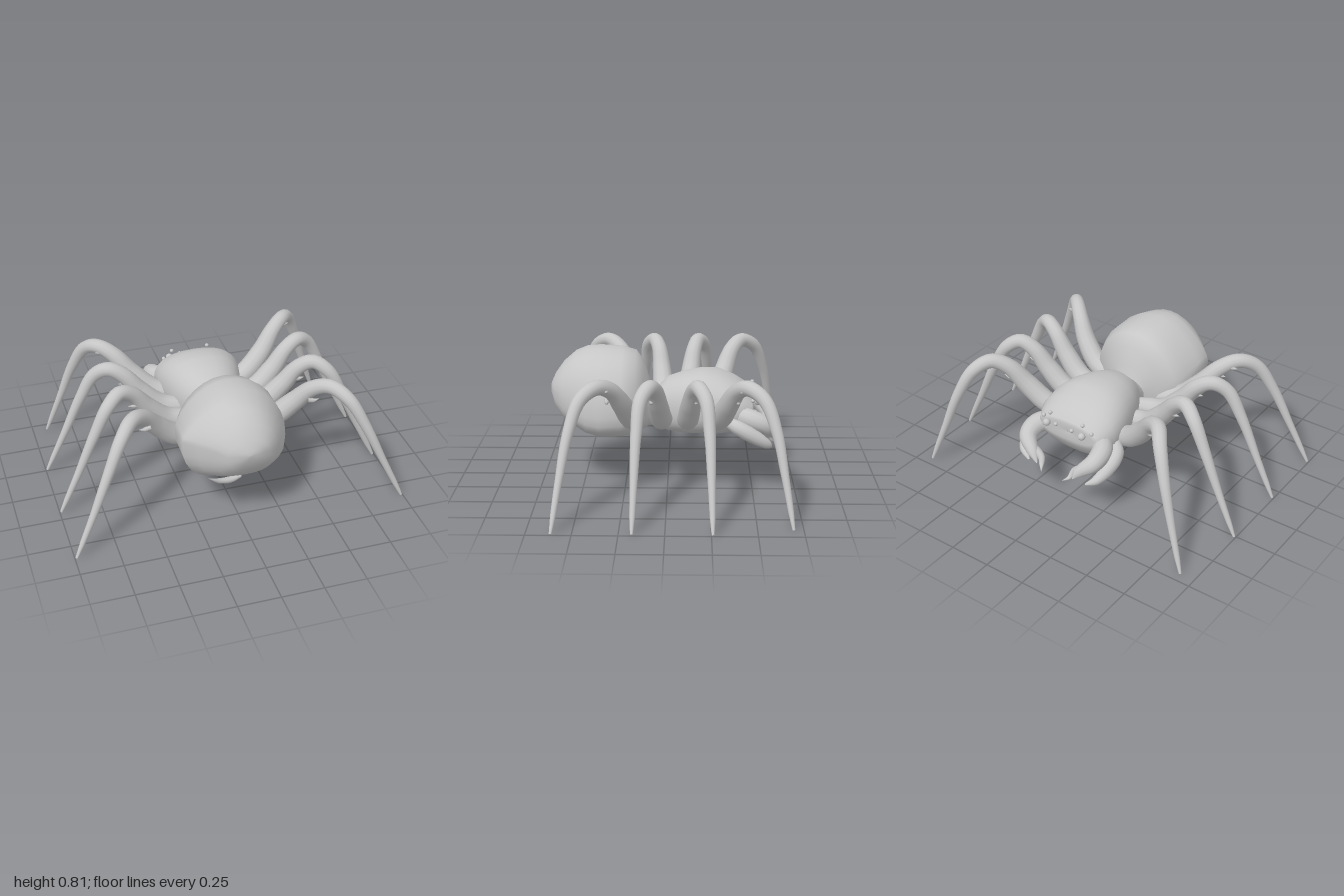
import * as THREE from 'three';

const grey = new THREE.MeshStandardMaterial({ color: 0xc6c6c6 });
grey.name = 'grey';

const add = (parent, name, geometry) => {
  const mesh = new THREE.Mesh(geometry, grey);
  mesh.name = name;
  parent.add(mesh);
  return mesh;
};

// Skin over cross-sections [z, halfWidth, bottom, middle, top, sideShift, lean], in order of rising z.
// A low power gives a boxy outline; lean lifts the right flank and slopes the back above it.
function loft(sections, upperPower, lowerPower, sides = 28) {
  const pos = [], idx = [];
  for (const [z, w, bottom, mid, top, shift = 0, lean = 0] of sections) {
    for (let j = 0; j < sides; j++) {
      const a = (j / sides) * Math.PI * 2;
      const c = Math.cos(a), s = Math.sin(a);
      const power = s < 0 ? lowerPower : upperPower + 6 * lean * Math.max(0, -c);
      const h = Math.abs(s) ** power, m = mid - lean * c;
      pos.push(shift + w * Math.sign(c) * Math.abs(c) ** power, m + ((s < 0 ? bottom : top) - m) * h, z);
    }
  }
  for (let i = 0; i < sections.length - 1; i++) {
    for (let j = 0; j < sides; j++) {
      const k = (j + 1) % sides;
      const a = i * sides + j, b = i * sides + k;
      idx.push(a, b, a + sides, b, b + sides, a + sides);
    }
  }
  const g = new THREE.BufferGeometry();
  g.setAttribute('position', new THREE.Float32BufferAttribute(pos, 3));
  g.setIndex(idx);
  g.computeVertexNormals();
  return g;
}

// Tube along points whose radius follows an evenly spaced list
function taper(points, radii, side = 1, steps = 40, sides = 12) {
  const curve = new THREE.CatmullRomCurve3(points.map(([x, y, z]) => new THREE.Vector3(x * side, y, z)));
  const g = new THREE.TubeGeometry(curve, steps, 1, sides, false);
  const p = g.attributes.position, v = new THREE.Vector3();
  for (let i = 0; i <= steps; i++) {
    const t = i / steps, centre = curve.getPointAt(t);
    const f = t * (radii.length - 1), k = Math.min(Math.floor(f), radii.length - 2);
    const r = THREE.MathUtils.lerp(radii[k], radii[k + 1], f - k);
    for (let j = 0; j <= sides; j++) {
      const n = i * (sides + 1) + j;
      v.fromBufferAttribute(p, n).sub(centre).multiplyScalar(r).add(centre);
      p.setXYZ(n, v.x, v.y, v.z);
    }
  }
  return g;
}

const legRadii = [0.045, 0.062, 0.064, 0.062, 0.056, 0.048, 0.044, 0.041, 0.037, 0.033, 0.029, 0.026, 0.022, 0.019, 0.016, 0.008];
const legPaths = {
  frontLeg: [[0.17, 0.4, -0.27], [0.3, 0.45, -0.305], [0.42, 0.56, -0.345], [0.51, 0.67, -0.395], [0.59, 0.71, -0.455],
    [0.66, 0.66, -0.54], [0.735, 0.5, -0.605], [0.815, 0.27, -0.65], [0.91, 0.008, -0.695]],
  frontMiddleLeg: [[0.14, 0.41, -0.11], [0.3, 0.45, -0.12], [0.42, 0.56, -0.135], [0.51, 0.67, -0.155], [0.59, 0.71, -0.18],
    [0.67, 0.66, -0.22], [0.76, 0.5, -0.24], [0.87, 0.26, -0.25], [0.99, 0.008, -0.258]],
  rearMiddleLeg: [[0.12, 0.41, 0.03], [0.3, 0.45, 0.035], [0.42, 0.56, 0.048], [0.51, 0.67, 0.065], [0.59, 0.71, 0.095],
    [0.67, 0.66, 0.14], [0.76, 0.5, 0.16], [0.87, 0.26, 0.17], [0.99, 0.008, 0.178]],
  rearLeg: [[0.12, 0.4, 0.18], [0.3, 0.45, 0.21], [0.42, 0.56, 0.25], [0.51, 0.67, 0.31], [0.59, 0.71, 0.385],
    [0.67, 0.66, 0.47], [0.76, 0.5, 0.53], [0.87, 0.26, 0.575], [0.99, 0.008, 0.613]],
};

// Outer tips of the short spines on each leg
const legSpines = {
  frontLeg: [[0.54, 0.605, -0.4], [0.62, 0.69, -0.415]],
  frontMiddleLeg: [[0.54, 0.605, -0.165]],
  rearMiddleLeg: [[0.54, 0.605, 0.085]],
  rearLeg: [[0.54, 0.605, 0.335], [0.62, 0.69, 0.33]],
};

export function createModel() {
  const model = new THREE.Group();
  model.name = 'spider';

  // Slightly lopsided, fuller on the right towards the rear
  add(model, 'abdomen', loft([
    [0.07, 0.09, 0.34, 0.42, 0.5], [0.11, 0.12, 0.33, 0.45, 0.6], [0.14, 0.19, 0.32, 0.47, 0.71],
    [0.19, 0.28, 0.3, 0.48, 0.78, 0, 0.02], [0.27, 0.315, 0.285, 0.49, 0.802, 0, 0.035],
    [0.4, 0.32, 0.28, 0.5, 0.81, -0.005, 0.055], [0.48, 0.305, 0.295, 0.51, 0.8, -0.025, 0.06],
    [0.55, 0.25, 0.335, 0.53, 0.775, -0.01, 0.045], [0.62, 0.185, 0.38, 0.55, 0.715, 0, 0.025],
    [0.67, 0.125, 0.45, 0.555, 0.645], [0.695, 0.05, 0.52, 0.56, 0.59], [0.7, 0.001, 0.559, 0.56, 0.561],
  ], 1, 0.75));

  add(model, 'headAndThorax', loft([
    [-0.497, 0.001, 0.469, 0.47, 0.471], [-0.505, 0.18, 0.42, 0.47, 0.525], [-0.495, 0.21, 0.39, 0.46, 0.54],
    [-0.455, 0.235, 0.325, 0.45, 0.585], [-0.4, 0.26, 0.308, 0.46, 0.62], [-0.3, 0.258, 0.295, 0.47, 0.665],
    [-0.2, 0.235, 0.29, 0.47, 0.67], [-0.1, 0.205, 0.29, 0.46, 0.652], [0, 0.155, 0.3, 0.45, 0.62],
    [0.05, 0.125, 0.315, 0.44, 0.57], [0.1, 0.115, 0.33, 0.44, 0.52], [0.15, 0.1, 0.34, 0.43, 0.5],
  ], 0.88, 0.8));

  for (const side of [1, -1]) {
    const half = new THREE.Group();
    half.name = side > 0 ? 'leftSide' : 'rightSide';
    model.add(half);

    for (const [name, path] of Object.entries(legPaths)) {
      add(half, name, taper(path, legRadii, side, 60));
      for (const [x, y, z] of legSpines[name]) {
        add(half, 'legSpine', taper([[x - 0.07, y + 0.005, z], [x - 0.03, y - 0.004, z], [x, y, z]],
          [0.014, 0.013, 0.001], side, 6, 6));
      }
    }

    // Thick jaw with an inward fang, and the slimmer feeler outside it
    add(half, 'jaw', taper([[0.17, 0.44, -0.4], [0.235, 0.425, -0.49], [0.235, 0.39, -0.57], [0.17, 0.33, -0.615], [0.13, 0.27, -0.63]],
      [0.05, 0.06, 0.058, 0.05, 0.035, 0.004], side));
    add(half, 'fang', taper([[0.19, 0.35, -0.6], [0.12, 0.3, -0.6], [0.1, 0.26, -0.625], [0.075, 0.25, -0.66]],
      [0.03, 0.025, 0.016, 0.001], side, 16));
    add(half, 'feeler', taper([[0.23, 0.41, -0.35], [0.285, 0.385, -0.42], [0.29, 0.34, -0.5], [0.26, 0.285, -0.58], [0.205, 0.25, -0.61]],
      [0.03, 0.042, 0.045, 0.04, 0.028, 0.006], side));

    // Four eyes on each side
    for (const [x, y, z, r] of [[0.125, 0.505, -0.532, 0.022], [0.057, 0.52, -0.535, 0.012],
      [0.17, 0.52, -0.5, 0.012], [0.115, 0.563, -0.508, 0.012]]) {
      add(half, 'eye', new THREE.SphereGeometry(r, 14, 10)).position.set(x * side, y, z);
    }
  }

  // Bumps along the underside of the abdomen
  for (const z of [0.28, 0.39]) {
    add(model, 'spinneret', new THREE.SphereGeometry(0.02, 12, 8)).position.set(0, 0.28, z);
  }

  // Curved hook under the rear of the abdomen
  add(model, 'hook', taper([[0.01, 0.285, 0.5], [-0.05, 0.285, 0.52], [-0.13, 0.305, 0.54], [-0.2, 0.35, 0.56]],
    [0.012, 0.02, 0.015, 0.001], 1, 20));

  return model;
}
